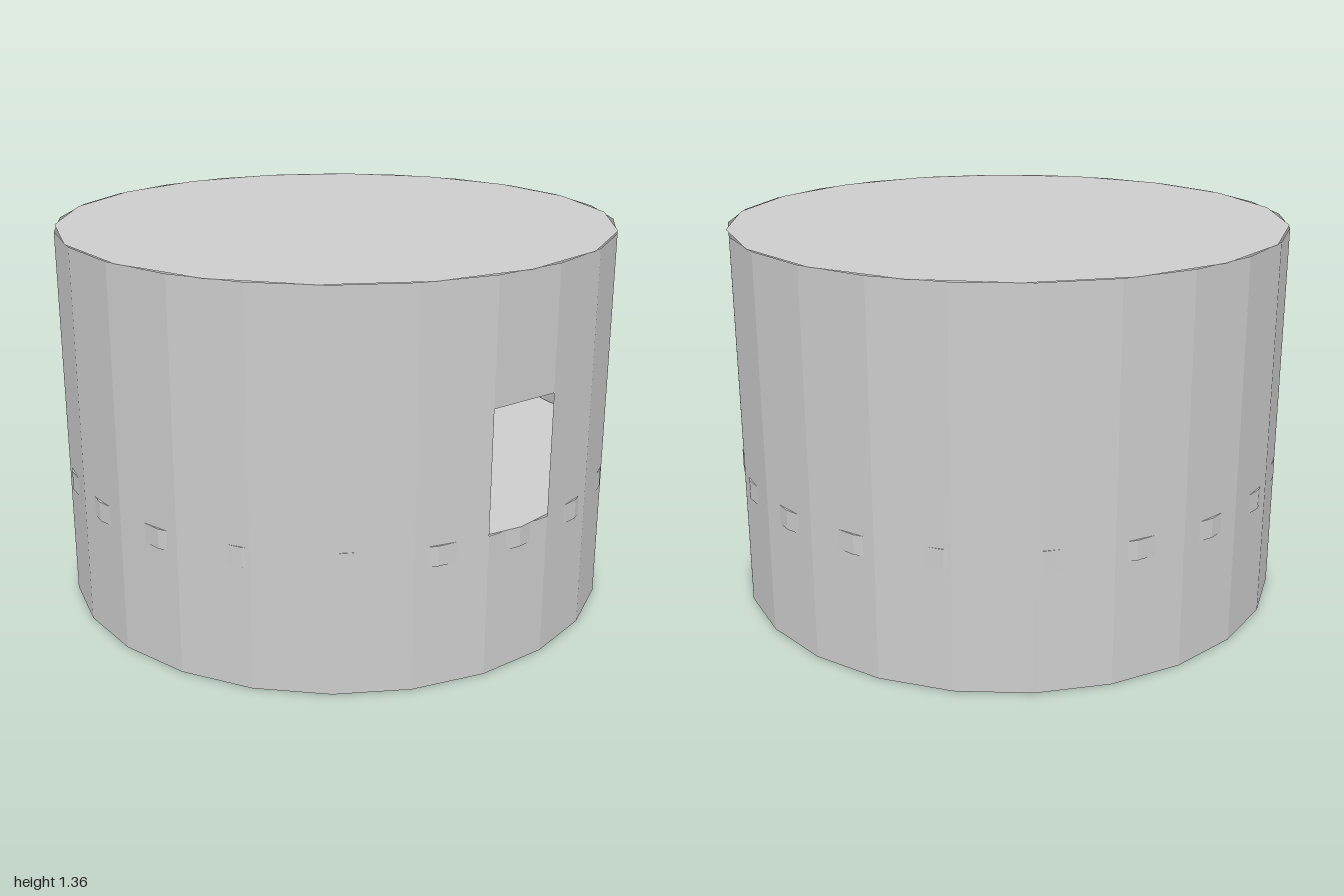
import * as THREE from 'three';

const HEIGHT = 1.355;
const SIDES = 24;
const STEP = (Math.PI * 2) / SIDES;

export function createModel() {
  const model = new THREE.Group();
  model.name = 'roundHut';

  const grey = new THREE.MeshStandardMaterial({ color: 0xcccccc, flatShading: true, side: THREE.DoubleSide });
  grey.name = 'plainGrey';

  const add = (name, geometry, y) => {
    const mesh = new THREE.Mesh(geometry, grey);
    mesh.name = name;
    mesh.position.y = y;
    model.add(mesh);
  };

  // Thin faceted wall covering `count` facets, from facet edge angle `start`
  const addWall = (name, y0, y1, start, count) =>
    add(name, new THREE.CylinderGeometry(1, 1, y1 - y0, count, 1, true, start, STEP * count), (y0 + y1) / 2);

  // Wall: every facet except the one facing +x, which holds the window opening
  const windowStart = Math.PI / 2 - STEP / 2;
  addWall('wall', 0, HEIGHT, windowStart + STEP, SIDES - 1);
  addWall('wallBelowWindow', 0, 0.5, windowStart, 1);
  addWall('wallAboveWindow', 0.93, HEIGHT, windowStart, 1);

  // Raised floor slab, its corners just poking through the wall
  add('floor', new THREE.CylinderGeometry(1, 1, 0.07, 20), 0.465);

  // Flat roof disc; the bottom stays open
  add('roof', new THREE.CircleGeometry(1, 18).rotateX(-Math.PI / 2), HEIGHT);

  return model;
}
